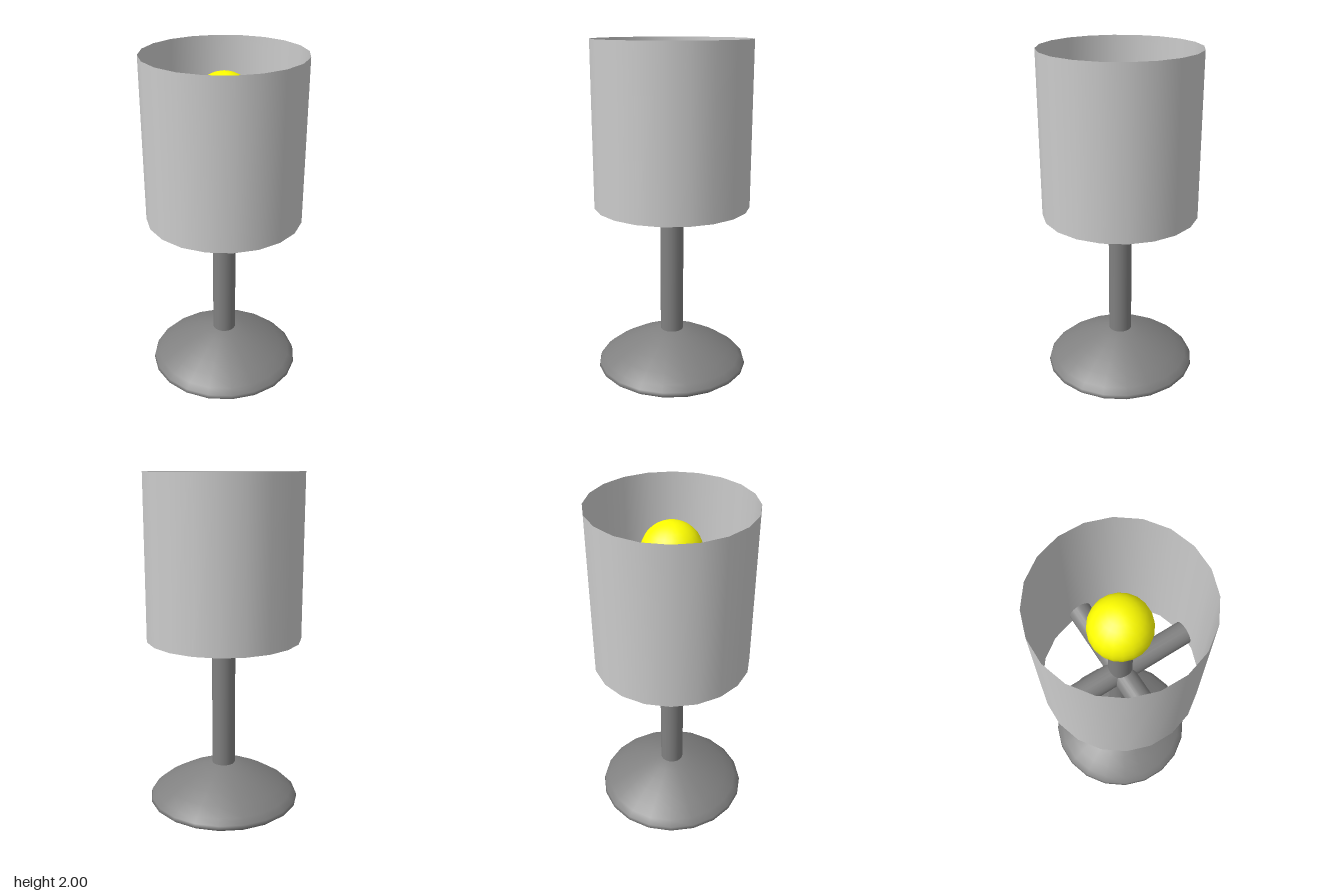
import * as THREE from 'three';

const SIDES = 20;

export function createModel() {
  const lamp = new THREE.Group();
  lamp.name = 'tableLamp';

  const metal = new THREE.MeshStandardMaterial({ color: 0x808080 });
  const fabric = new THREE.MeshStandardMaterial({ color: 0xcccccc, side: THREE.DoubleSide });
  const glow = new THREE.MeshStandardMaterial({ color: 0xffff00 });

  const add = (name, geometry, material, y = 0) => {
    const mesh = new THREE.Mesh(geometry, material);
    mesh.name = name;
    mesh.position.y = y;
    lamp.add(mesh);
    return mesh;
  };

  // Domed foot with a rounded rim, and its flat underside
  const profile = [
    [0.39, 0], [0.44, 0.01], [0.458, 0.025], [0.452, 0.045], [0.42, 0.075],
    [0.36, 0.115], [0.28, 0.16], [0.2, 0.198], [0.13, 0.226], [0.07, 0.245], [0, 0.255],
  ].map(([r, y]) => new THREE.Vector2(r, y));
  add('base', new THREE.LatheGeometry(profile, SIDES), metal);
  const underside = add('baseUnderside', new THREE.CircleGeometry(0.39, SIDES), metal);
  underside.rotation.set(Math.PI / 2, 0, Math.PI / 2);

  // Post from the foot up into the bulb
  add('post', new THREE.CylinderGeometry(0.07, 0.07, 1.45, SIDES), metal, 0.905);

  // Two crossed bars that carry the shade
  const tilt = THREE.MathUtils.degToRad(28.3);
  for (const [i, length] of [0.888, 0.9].entries()) {
    const geometry = new THREE.CylinderGeometry(0.07, 0.07, length, SIDES);
    geometry.rotateZ(Math.PI / 2);
    const bar = add('shadeBar' + (i + 1), geometry, metal, 1.13);
    bar.rotation.y = tilt + i * Math.PI / 2;
  }

  // Bulb
  add('bulb', new THREE.SphereGeometry(0.172, SIDES, 16), glow, 1.73);

  // Open drum shade
  add('shade', new THREE.CylinderGeometry(0.46, 0.46, 0.96, SIDES, 1, true), fabric, 1.52);

  return lamp;
}
